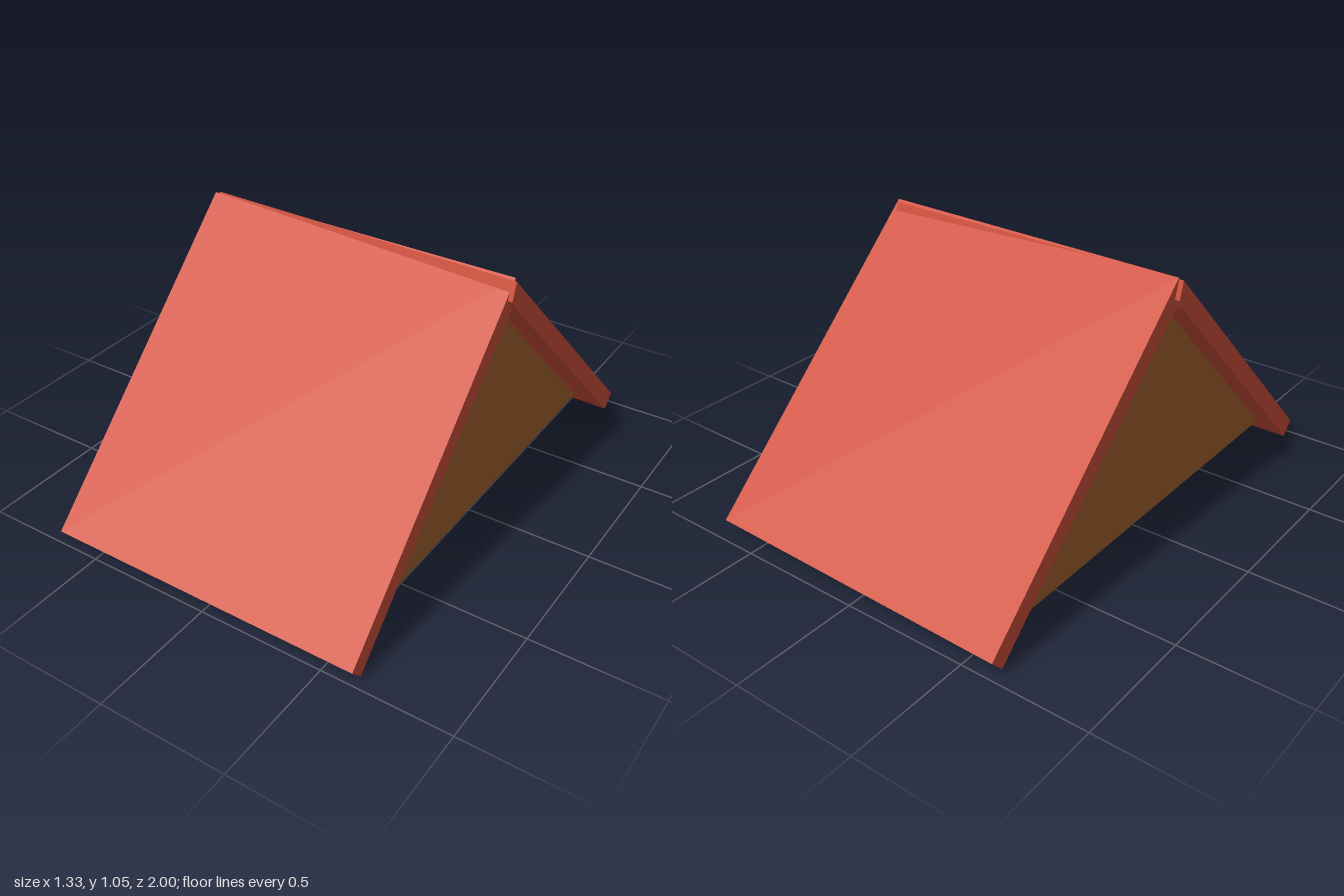
import * as THREE from 'three';

export function createModel() {
  const model = new THREE.Group();
  model.name = 'gableRoof';
  const red = new THREE.MeshStandardMaterial({ color: 0xcf503c });
  red.name = 'roofRed';
  const brown = new THREE.MeshStandardMaterial({ color: 0xa4612d });
  brown.name = 'gableBrown';

  // Extrudes a side outline of [z, y] points across x, centred on its width
  const part = (name, points, width, material, x, yaw = 0, roll = 0) => {
    const shape = new THREE.Shape(points.map(([z, y]) => new THREE.Vector2(-z, y)));
    const geometry = new THREE.ExtrudeGeometry(shape, { depth: width, bevelEnabled: false });
    geometry.translate(0, 0, -width / 2).rotateY(Math.PI / 2);
    const mesh = new THREE.Mesh(geometry, material);
    mesh.name = name;
    mesh.position.x = x;
    mesh.rotation.set(0, yaw, roll);
    model.add(mesh);
  };

  // Sloping roof slabs with a bevelled ridge end; the rear one sits slightly askew
  part('frontSlab', [[1, 0.055], [0.95, 0], [0.007, 0.935], [-0.02, 0.975], [0, 1.043]], 1.29, red, -0.02);
  part('rearSlab', [[-0.985, 0.066], [-0.935, 0.012], [0.001, 0.937], [0.034, 0.977], [0.012, 1.047]],
    1.29, red, -0.005, -0.022, -0.003);

  // Thin panels lining the slabs between the end walls
  part('frontLining', [[0.866, 0.088], [0.859, 0.085], [0.005, 0.931], [0.01, 0.94]], 1.12, red, -0.015);
  part('rearLining', [[-0.864, 0.09], [-0.855, 0.086], [0.003, 0.931], [-0.003, 0.94]],
    1.12, red, -0.015, -0.022, -0.003);

  // Thin triangular end walls, open underneath
  for (const [name, x] of [['leftGable', 0.545], ['rightGable', -0.575]]) {
    part(name, [[0.868, 0.086], [-0.876, 0.088], [0.008, 0.95]], 0.004, brown, x);
  }
  return model;
}
